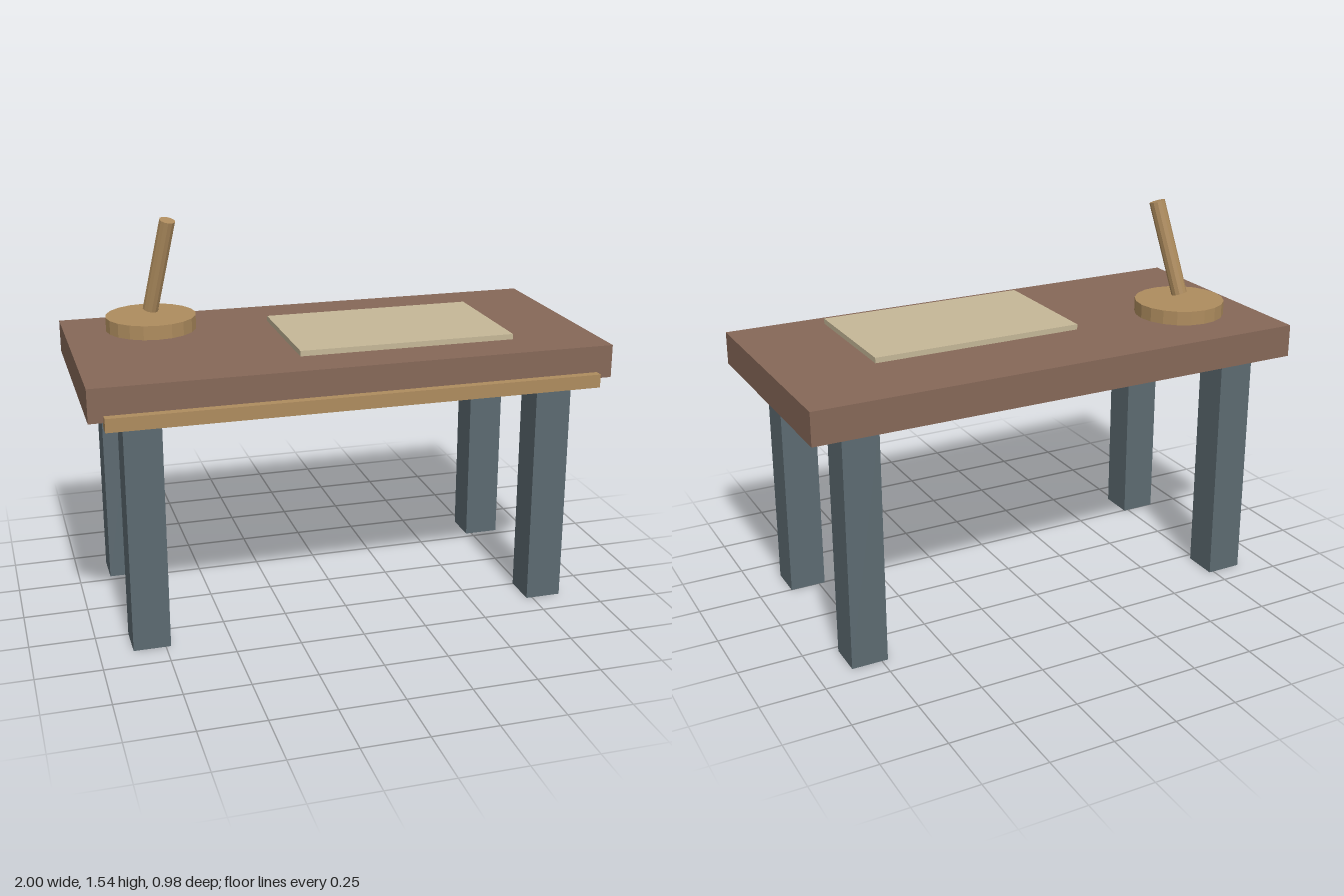
import * as THREE from 'three';

const mat = (name, color, flatShading = false) =>
  Object.assign(new THREE.MeshStandardMaterial({ color, flatShading }), { name });

export function createModel() {
  const brown = mat('brown wood', 0x866858);
  const slate = mat('slate legs', 0x5c6a71);
  const tan = mat('tan wood', 0xae8c5e, true);
  const cream = mat('cream paper', 0xc5b797);
  const group = new THREE.Group();

  const add = (name, geometry, material) => {
    const mesh = new THREE.Mesh(geometry, material);
    mesh.name = name;
    group.add(mesh);
    return mesh;
  };

  // Box given by its limits along each axis
  const box = (name, material, [x0, x1], [y0, y1], [z0, z1]) =>
    add(name, new THREE.BoxGeometry(x1 - x0, y1 - y0, z1 - z0), material)
      .position.set((x0 + x1) / 2, (y0 + y1) / 2, (z0 + z1) / 2);

  box('tabletop', brown, [-1, 1], [0.938, 1.066], [-0.49, 0.457]);
  box('frontRail', tan, [-0.945, 0.94], [0.911, 0.963], [0.437, 0.49]);
  box('deskMat', cream, [-0.202, 0.64], [1.083, 1.104], [-0.19, 0.332]);

  // Four square legs
  const half = 0.071;
  for (const [side, x] of [['right', -0.802], ['left', 0.797]])
    for (const [end, z] of [['Front', 0.318], ['Back', -0.35]])
      box(`${side}${end}Leg`, slate, [x - half, x + half], [0, 0.938], [z - half, z + half]);

  // Lamp: round base and a leaning stem
  add('lampBase', new THREE.CylinderGeometry(0.177, 0.177, 0.055, 20), tan)
    .position.set(-0.669, 1.115, -0.195);

  const foot = new THREE.Vector3(-0.669, 1.165, -0.194);
  const tip = new THREE.Vector3(-0.604, 1.528, -0.108);
  const axis = tip.clone().sub(foot);
  const stem = add('lampStem', new THREE.CylinderGeometry(0.031, 0.031, axis.length(), 12), tan);
  stem.position.copy(foot).add(tip).multiplyScalar(0.5);
  stem.quaternion.setFromUnitVectors(new THREE.Vector3(0, 1, 0), axis.normalize());

  return group;
}
